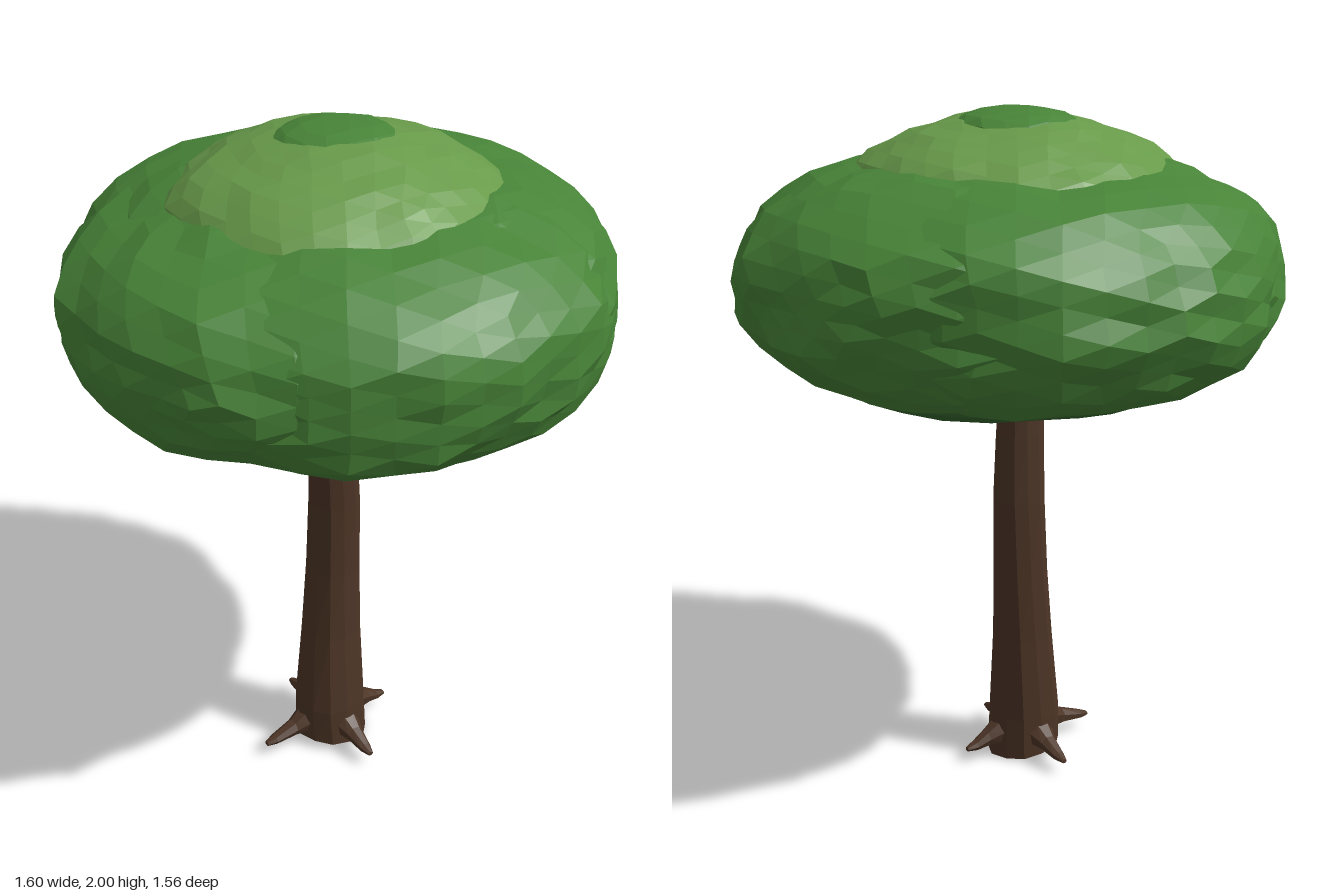
import * as THREE from 'three';
import { mergeVertices } from 'three/addons/utils/BufferGeometryUtils.js';

const mat = (color) => new THREE.MeshStandardMaterial({ color, flatShading: true });
const bark = mat(0x4d3526);
const leaf = mat(0x488438);
const leafLight = mat(0x689a4a);
const leafDark = mat(0x37692f);

function makeRandom(seed) {
  return () => {
    seed = (seed * 16807) % 2147483647;
    return seed / 2147483647;
  };
}

function addMesh(group, name, geometry, material) {
  const mesh = new THREE.Mesh(geometry, material);
  mesh.name = name;
  group.add(mesh);
  return mesh;
}

// Rough faceted leaf mass: superellipsoid of power n with uneven vertices
function blob(center, radii, n, detail, seed, rough = 0.04) {
  let geo = new THREE.IcosahedronGeometry(1, detail);
  geo.deleteAttribute('normal');
  geo.deleteAttribute('uv');
  geo = mergeVertices(geo, 1e-4);
  const rand = makeRandom(seed);
  const pos = geo.attributes.position;
  const p = new THREE.Vector3();
  for (let i = 0; i < pos.count; i++) {
    p.fromBufferAttribute(pos, i).normalize();
    const h = Math.hypot(p.x, p.z);
    const wave = 0.012 * Math.sin(7 * p.x + seed) + 0.012 * Math.sin(8 * p.z + 5 * p.y + seed);
    const s = Math.pow(Math.pow(h, n) + Math.pow(Math.abs(p.y), n), -1 / n);
    p.multiplyScalar(s * (1 + wave + (rand() - 0.5) * rough));
    pos.setXYZ(i, center[0] + p.x * radii[0], center[1] + p.y * radii[1], center[2] + p.z * radii[2]);
  }
  geo.computeVertexNormals();
  return geo;
}

// Closed skin over elliptical rings [x, y, z, rx, rz, tilt], listed upward
function loft(rings, sides, ripple = 0) {
  const verts = [], index = [];
  rings.forEach(([x, y, z, rx, rz, tilt = 0], r) => {
    for (let i = 0; i < sides; i++) {
      const a = (i / sides) * Math.PI * 2 + r * 0.06;
      const k = 1 + ripple * (i % 2 ? -1 : 1);
      const dx = Math.cos(a) * rx * k;
      verts.push(x + dx, y - dx * tilt, z + Math.sin(a) * rz * k);
    }
  });
  const bottom = verts.length / 3, top = bottom + 1, last = (rings.length - 1) * sides;
  verts.push(...rings[0].slice(0, 3), ...rings[rings.length - 1].slice(0, 3));
  for (let i = 0; i < sides; i++) {
    const j = (i + 1) % sides;
    for (let b = 0; b < last; b += sides) {
      index.push(b + i, b + sides + i, b + j, b + j, b + sides + i, b + sides + j);
    }
    index.push(bottom, i, j, top, last + j, last + i);
  }
  const geo = new THREE.BufferGeometry();
  geo.setAttribute('position', new THREE.Float32BufferAttribute(verts, 3));
  geo.setIndex(index);
  geo.computeVertexNormals();
  return geo;
}

export function createModel() {
  const tree = new THREE.Group();
  tree.name = 'tree';

  // Leaning trunk, wider at the foot
  addMesh(tree, 'trunk', loft([
    [-0.06, 0.015, 0.03, 0.115, 0.11, 0.13],
    [-0.06, 0.14, 0.025, 0.11, 0.11],
    [-0.045, 0.4, 0.012, 0.092, 0.093],
    [-0.032, 0.62, 0.004, 0.082, 0.086],
    [-0.025, 0.85, 0.002, 0.077, 0.083],
    [-0.03, 1.05, 0.004, 0.071, 0.077],
    [-0.04, 1.22, 0.007, 0.064, 0.071],
    [-0.045, 1.4, 0.008, 0.06, 0.065],
  ], 12, 0.02), bark);

  // Four short roots, one to each side, dipping towards the tip
  const roots = new THREE.Group();
  roots.name = 'roots';
  roots.position.set(-0.06, 0, 0.025);
  tree.add(roots);
  [0.21, 0.225, 0.24, 0.225].forEach((reach, i) => {
    const geo = loft([
      [-0.09, 0.05, 0, 0.05, 0.05],
      [-0.08, 0.1, 0, 0.042, 0.042],
      [-0.066, 0.14, 0, 0.026, 0.028],
      [-0.05, reach - 0.03, 0, 0.015, 0.019],
      [-0.045, reach, 0, 0.007, 0.009],
    ], 7).rotateZ(-Math.PI / 2);
    addMesh(roots, 'root' + (i + 1), geo, bark).rotation.y = -i * Math.PI / 2;
  });

  // Canopy: four overlapping lobes around the trunk
  const canopy = new THREE.Group();
  canopy.name = 'canopy';
  tree.add(canopy);
  addMesh(canopy, 'frontLobe', blob([0, 1.53, 0.1], [0.71, 0.34, 0.67], 2.45, 6, 11), leaf);
  addMesh(canopy, 'backLobe', blob([-0.01, 1.54, -0.1], [0.69, 0.34, 0.67], 2.45, 6, 23), leaf);
  addMesh(canopy, 'leftLobe', blob([0.11, 1.54, 0.01], [0.68, 0.335, 0.69], 2.45, 6, 37), leaf);
  addMesh(canopy, 'rightLobe', blob([-0.12, 1.53, 0], [0.67, 0.33, 0.69], 2.45, 6, 53), leaf);

  // Light crown with a darker tip, and the shaded underside
  addMesh(canopy, 'crown', blob([-0.01, 1.79, 0], [0.47, 0.2, 0.47], 1.7, 5, 71), leafLight);
  addMesh(canopy, 'crownTip', blob([0, 1.94, -0.02], [0.18, 0.06, 0.18], 2.2, 2, 89), leaf);
  addMesh(canopy, 'underside', blob([-0.01, 1.29, 0], [0.56, 0.11, 0.54], 2.2, 4, 97), leafDark);

  return tree;
}
